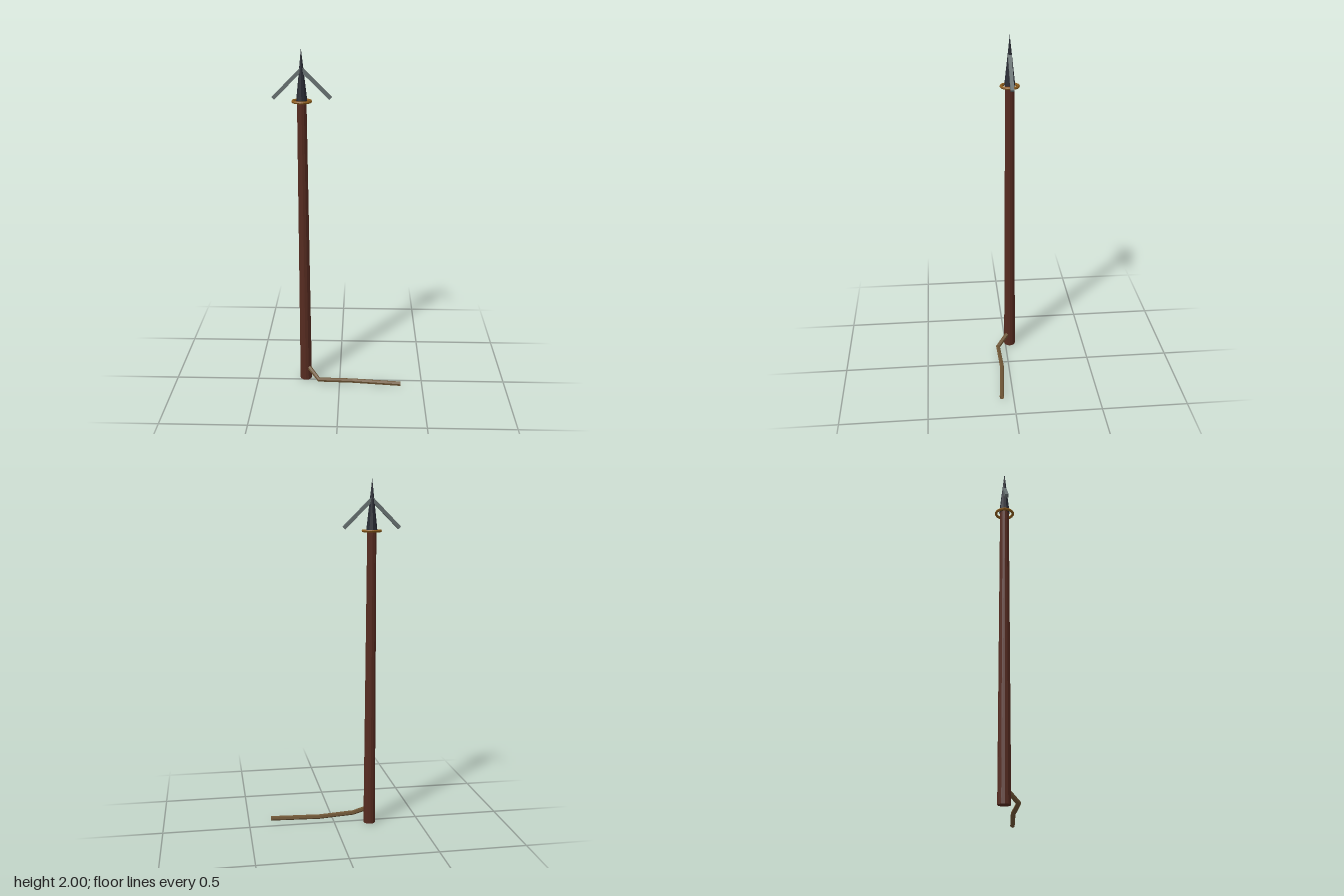
import * as THREE from 'three';

const mat = (name, color, side = THREE.FrontSide) =>
  new THREE.MeshStandardMaterial({ name, color, side, flatShading: true });

// Straight runs between knots, with mitred bends
class PolyCurve extends THREE.Curve {
  constructor(points) {
    super();
    this.points = points;
  }
  getUtoTmapping(u) {
    return u;
  }
  getPoint(t, target = new THREE.Vector3()) {
    const n = this.points.length - 1;
    const i = Math.min(Math.floor(t * n), n - 1);
    return target.lerpVectors(this.points[i], this.points[i + 1], t * n - i);
  }
}

export function createModel() {
  const model = new THREE.Group();
  const wood = mat('dark red wood', 0x562b20);
  const iron = mat('dark iron', 0x282b33);
  const steel = mat('grey steel', 0x667070);
  const brass = mat('aged brass', 0x8c5c1c);
  const hemp = mat('hemp rope', 0x6e5535, THREE.DoubleSide);

  const add = (parent, name, geometry, material) => {
    const mesh = new THREE.Mesh(geometry, material);
    mesh.name = name;
    parent.add(mesh);
    return mesh;
  };

  // Upright harpoon
  const harpoon = new THREE.Group();
  harpoon.name = 'harpoon';
  harpoon.position.set(-0.208, 0, -0.028);
  model.add(harpoon);

  add(harpoon, 'shaft', new THREE.CylinderGeometry(0.026, 0.035, 1.72, 12), wood)
    .position.y = 0.86;
  add(harpoon, 'point', new THREE.ConeGeometry(0.031, 0.28, 10), iron)
    .position.y = 1.86;

  // Loose collar below the point
  const collar = add(harpoon, 'collar', new THREE.TorusGeometry(0.049, 0.008, 6, 32), brass);
  collar.rotation.x = Math.PI / 2;
  collar.position.y = 1.715;

  // Swept-back barbs
  for (const side of [-1, 1]) {
    const barb = add(harpoon, side > 0 ? 'leftBarb' : 'rightBarb',
      new THREE.BoxGeometry(0.02, 0.222, 0.02), steel);
    barb.position.set(side * 0.0785, 1.81, 0);
    barb.rotation.z = side * Math.PI / 4;
  }

  // Rope trailing along the ground
  const path = new PolyCurve([
    new THREE.Vector3(-0.19, 0.08, -0.012),
    new THREE.Vector3(-0.125, 0.03, 0.053),
    new THREE.Vector3(0.08, 0.021, 0.045),
    new THREE.Vector3(0.37, 0.019, 0.07),
  ]);
  add(model, 'rope', new THREE.TubeGeometry(path, 3, 0.0135, 6), hemp);

  return model;
}
